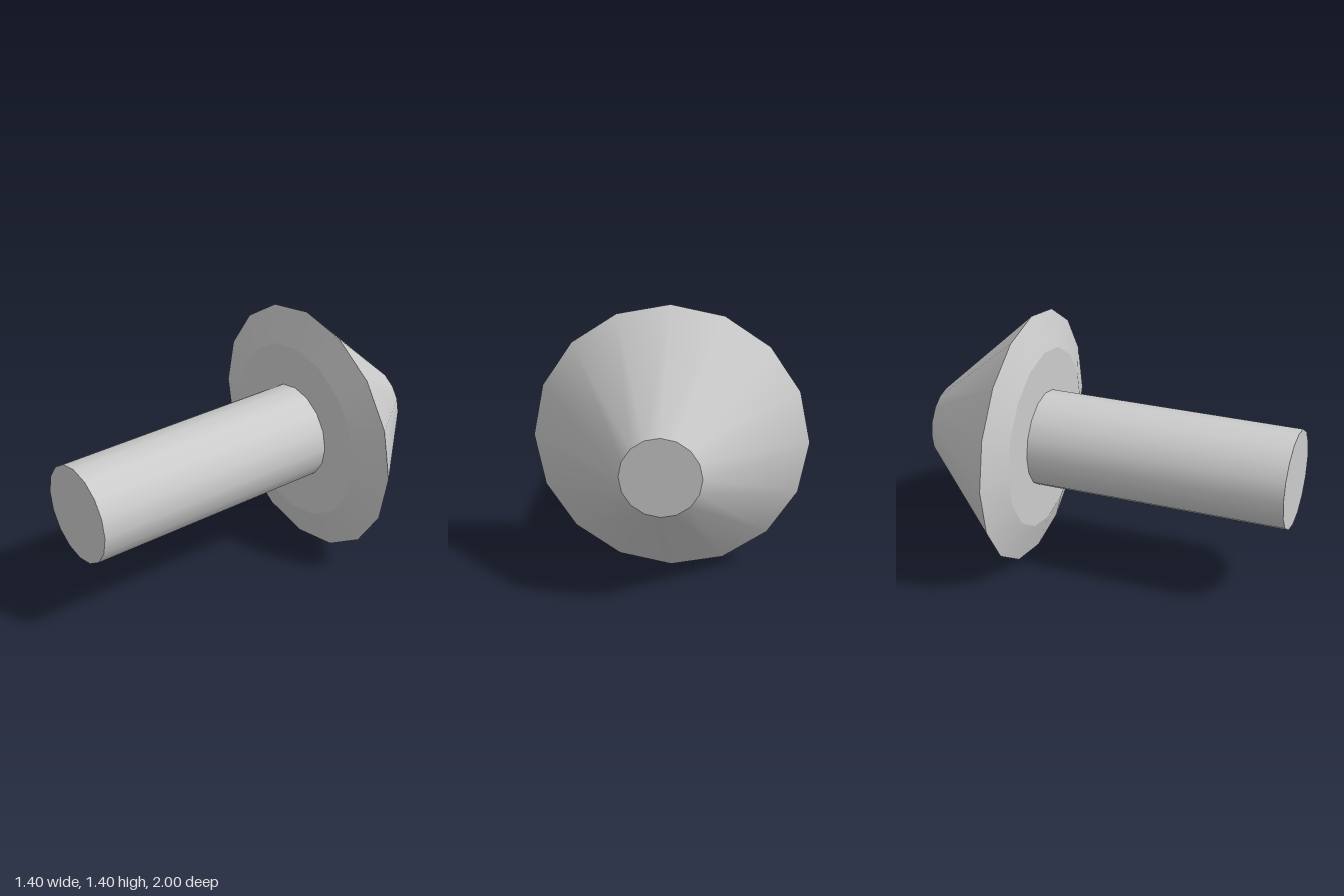
import * as THREE from 'three';

const SIDES = 16;

export function createModel() {
  const model = new THREE.Group();
  const grey = new THREE.MeshStandardMaterial({ color: 0xcccccc });
  grey.name = 'light grey';

  // A round section along z, from zBack to zFront, with its axis at y = 0.7
  function section(name, zBack, zFront, rBack, rFront, open = false) {
    const geometry = new THREE.CylinderGeometry(rFront, rBack, zFront - zBack, SIDES, 1, open);
    geometry.rotateX(Math.PI / 2);
    const mesh = new THREE.Mesh(geometry, grey);
    mesh.name = name;
    mesh.position.z = (zBack + zFront) / 2;
    return mesh;
  }

  // Flat disc closing one end of the head
  function disc(name, z, radius, facing) {
    const geometry = new THREE.CircleGeometry(radius, SIDES);
    if (facing < 0) geometry.rotateY(Math.PI);
    const mesh = new THREE.Mesh(geometry, grey);
    mesh.name = name;
    mesh.position.z = z;
    return mesh;
  }

  // Head: long taper to the back, shallow bevel to the front
  const head = new THREE.Group();
  head.name = 'head';
  head.add(
    section('taper', -1, -0.467, 0.2, 0.7, true),
    section('bevel', -0.467, -0.4, 0.7, 0.5, true),
    disc('backFace', -1, 0.2, -1),
    disc('frontFace', -0.4, 0.5, 1),
  );

  // Stem runs forward from the head
  const stem = section('stem', -0.4, 1, 0.265, 0.265);

  model.add(head, stem);
  for (const part of model.children) part.position.y = 0.7;
  return model;
}
